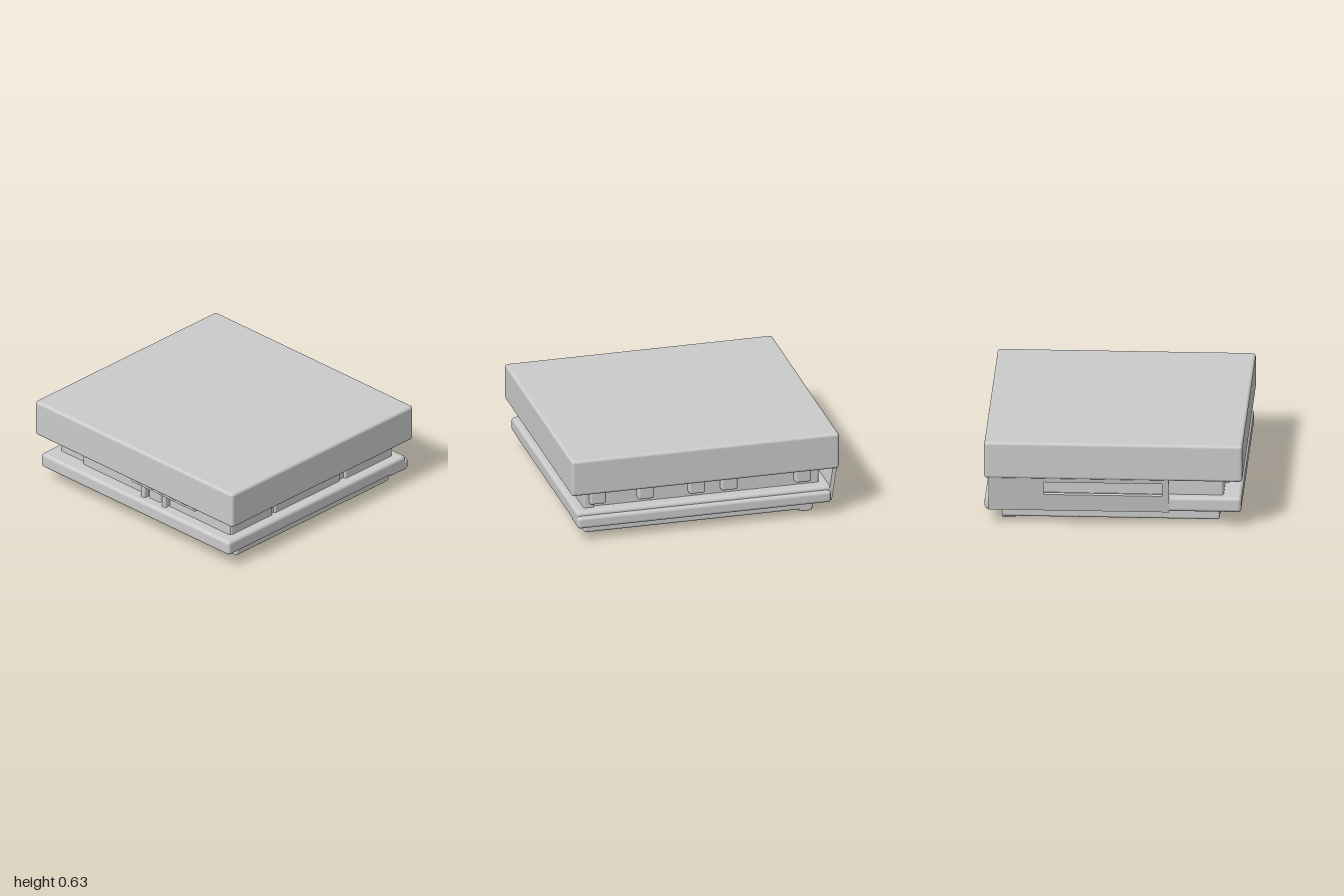
import * as THREE from 'three';
import { RoundedBoxGeometry } from 'three/addons/geometries/RoundedBoxGeometry.js';

const material = new THREE.MeshStandardMaterial({ color: 0xcccccc });

// Softened block given by its min and max on each axis
function block(group, name, [x0, x1], [y0, y1], [z0, z1], radius) {
  const geo = new RoundedBoxGeometry(x1 - x0, y1 - y0, z1 - z0, 3, radius);
  const mesh = new THREE.Mesh(geo, material);
  mesh.name = name;
  mesh.position.set((x0 + x1) / 2, (y0 + y1) / 2, (z0 + z1) / 2);
  group.add(mesh);
  return mesh;
}

export function createModel() {
  const model = new THREE.Group();
  model.name = 'layeredSlab';

  // Main stack: thick top, recessed core, wide plate and narrower base
  block(model, 'topSlab', [-1, 0.995], [0.36, 0.635], [-0.93, 0.93], 0.022);
  block(model, 'core', [-0.88, 0.86], [0.18, 0.4], [-0.81, 0.79], 0.02);
  block(model, 'middlePlate', [-0.95, 0.95], [0.11, 0.22], [-0.9, 0.92], 0.025);
  block(model, 'base', [-0.84, 0.87], [0.015, 0.14], [-0.81, 0.76], 0.018);

  // Shallow collars that soften the steps in and out of the core
  block(model, 'upperCollar', [-0.88, 0.9], [0.335, 0.4], [-0.85, 0.84], 0.015);
  block(model, 'lowerCollar', [-0.88, 0.87], [0.09, 0.13], [-0.83, 0.8], 0.01);

  // Lower lip at the rear of the plate, and a small foot
  block(model, 'rearLip', [-0.94, 0.95], [0.1, 0.19], [-0.93, -0.74], 0.025);
  block(model, 'foot', [-0.83, -0.73], [0, 0.06], [-0.81, -0.71], 0.015);

  // Front of the recess: sagging rail, raised panels and a small latch frame
  block(model, 'frontRail', [-0.05, 0.6], [0.33, 0.4], [0.7, 0.91], 0.015);
  block(model, 'frontPanel', [0.26, 0.87], [0.2, 0.36], [0.7, 0.83], 0.015);
  block(model, 'frontPanel', [-0.62, -0.03], [0.2, 0.34], [0.7, 0.82], 0.012);
  for (const x of [0.03, 0.24]) {
    block(model, 'latchPost', [x - 0.02, x + 0.02], [0.2, 0.35], [0.76, 0.87], 0.01);
  }
  block(model, 'latch', [0.06, 0.18], [0.2, 0.29], [0.75, 0.84], 0.015);

  // Side panels in the recess, split by narrow grooves
  for (const [z0, z1, x] of [[0.4, 0.82, 0.88], [-0.3, 0.37, 0.875], [-0.83, -0.35, 0.88]]) {
    block(model, 'sidePanel', [0.8, x], [0.2, 0.38], [z0, z1], 0.012);
  }

  // Lugs along the rear recess
  for (const x of [0.78, 0.42, 0.04, -0.2, -0.75]) {
    block(model, 'rearLug', [x - 0.06, x + 0.06], [0.25, 0.38], [-0.86, -0.75], 0.015);
  }

  // Leaning cover on the right side, with one long slot
  const cover = new THREE.Shape();
  cover.moveTo(-0.9, 0);
  cover.lineTo(0.4, 0);
  cover.lineTo(0.4, 0.27);
  cover.lineTo(-0.9, 0.27);
  cover.closePath();
  const slot = new THREE.Path();
  slot.moveTo(-0.5, 0.13);
  slot.lineTo(-0.5, 0.23);
  slot.lineTo(0.35, 0.23);
  slot.lineTo(0.35, 0.13);
  slot.closePath();
  cover.holes.push(slot);
  const coverGeo = new THREE.ExtrudeGeometry(cover, { depth: 0.03, bevelEnabled: false });
  coverGeo.rotateY(-Math.PI / 2);
  coverGeo.rotateZ(Math.atan2(0.04, 0.26));
  const coverMesh = new THREE.Mesh(coverGeo, material);
  coverMesh.name = 'sideCover';
  coverMesh.position.set(-0.92, 0.11, 0);
  model.add(coverMesh);

  return model;
}
